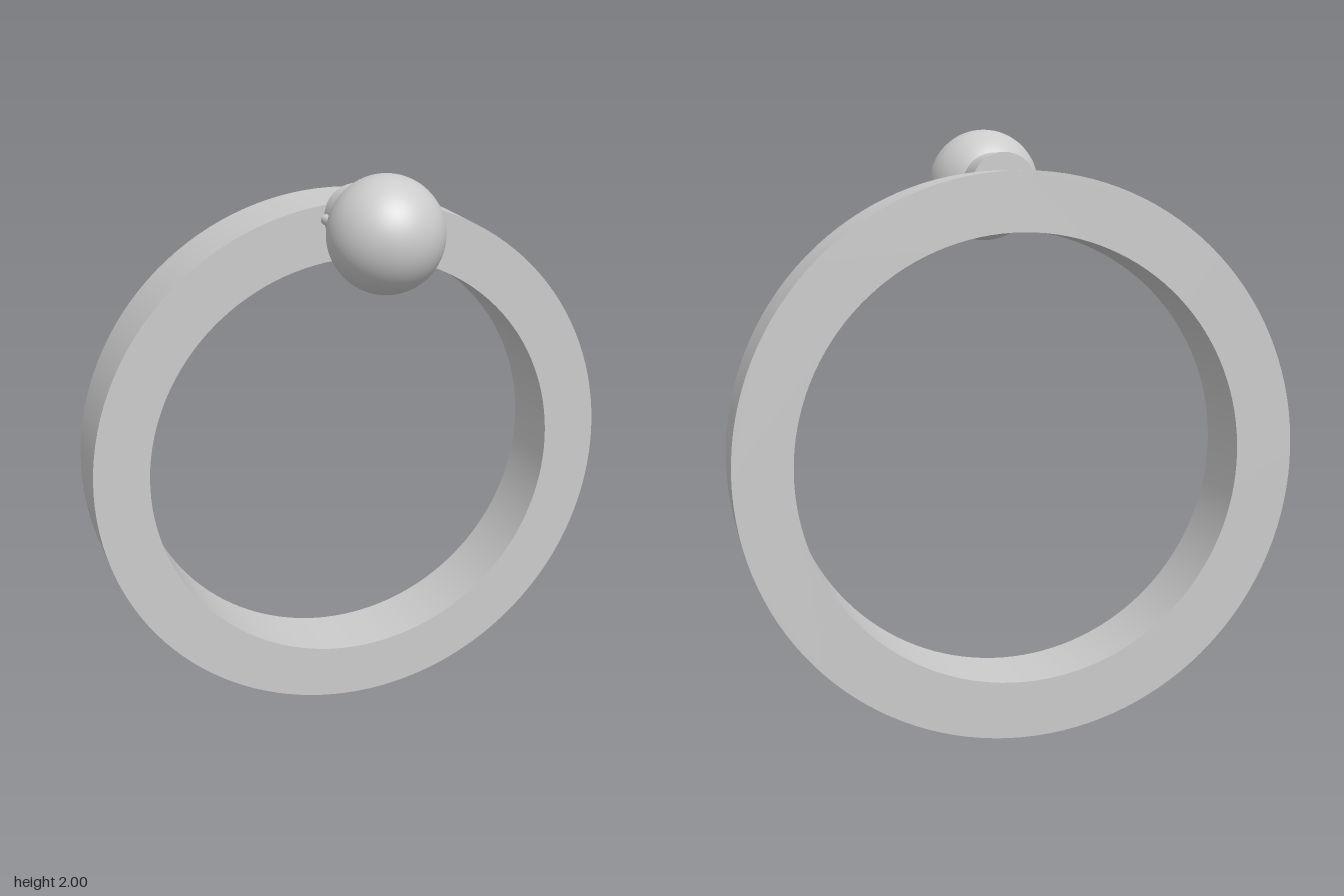
import * as THREE from 'three';
import { toCreasedNormals } from 'three/addons/utils/BufferGeometryUtils.js';

export function createModel() {
  const model = new THREE.Group();
  model.name = 'ringWithBall';
  const material = new THREE.MeshStandardMaterial({ color: 0xcccccc });

  const add = (name, geometry, x, y, z) => {
    const mesh = new THREE.Mesh(geometry, material);
    mesh.name = name;
    mesh.position.set(x, y, z);
    model.add(mesh);
    return mesh;
  };

  const ringRadius = 0.93, ballY = 1.81, ballZ = 0.183;

  // Flat-sided ring with sharp rims
  const outline = new THREE.Shape().absarc(0, 0, ringRadius, 0, Math.PI * 2, false);
  outline.holes.push(new THREE.Path().absarc(0, 0, 0.738, 0, Math.PI * 2, true));
  const band = new THREE.ExtrudeGeometry(outline, { depth: 0.258, bevelEnabled: false, curveSegments: 64 });
  add('ring', toCreasedNormals(band, Math.PI / 6), 0, ringRadius, -0.37);

  // Short stem joining the ring to the ball
  const stem = new THREE.CylinderGeometry(0.11, 0.11, 0.17, 48).rotateX(Math.PI / 2);
  add('stem', stem, 0, ballY, -0.03);

  // Ball
  add('ball', new THREE.SphereGeometry(0.19, 48, 32), 0, ballY, ballZ);

  // Small slanted pin on each side of the stem, running into the ball
  const back = new THREE.Vector3(0.114, ballY + 0.002, -0.082);
  const front = new THREE.Vector3(0.098, ballY - 0.002, 0.05);
  for (const side of [1, -1]) {
    const a = back.clone(), b = front.clone();
    a.x *= side;
    b.x *= side;
    const dir = b.clone().sub(a);
    const mid = a.clone().add(b).multiplyScalar(0.5);
    const pin = add(side > 0 ? 'leftPin' : 'rightPin',
      new THREE.CylinderGeometry(0.016, 0.018, dir.length(), 16), mid.x, mid.y, mid.z);
    pin.quaternion.setFromUnitVectors(new THREE.Vector3(0, 1, 0), dir.normalize());
  }

  return model;
}
